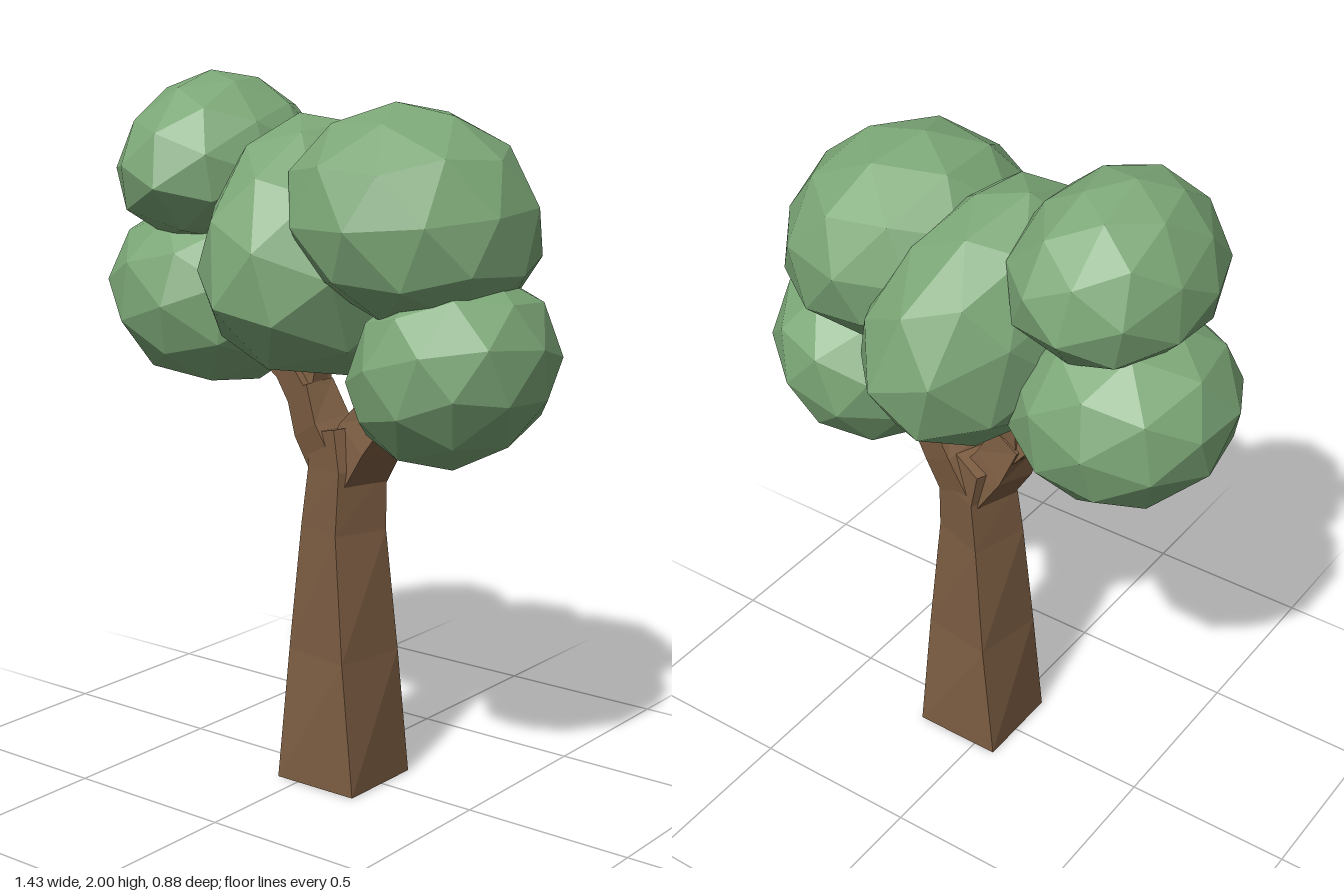
import * as THREE from 'three';

const bark = new THREE.MeshStandardMaterial({ color: 0x7c5d42, flatShading: true });
const leaf = new THREE.MeshStandardMaterial({ color: 0x7ca777, flatShading: true });

// Four-sided limb lofted through sections [x, y, z, corner radius, twist]
function limb(name, sections) {
  const zAxis = new THREE.Vector3(0, 0, 1);
  const centres = sections.map(s => new THREE.Vector3(s[0], s[1], s[2]));
  const positions = [], index = [];
  sections.forEach(([, , , radius, twist], i) => {
    const dir = centres[Math.min(i + 1, centres.length - 1)].clone()
      .sub(centres[Math.max(i - 1, 0)]).normalize();
    const u = dir.clone().cross(zAxis).normalize();
    const v = u.clone().cross(dir);
    for (let k = 0; k < 4; k++) {
      const a = Math.PI / 4 + k * Math.PI / 2 + twist;
      const p = centres[i].clone()
        .addScaledVector(u, radius * Math.cos(a))
        .addScaledVector(v, radius * Math.sin(a));
      positions.push(p.x, p.y, p.z);
    }
  });
  for (let i = 0; i < sections.length - 1; i++) {
    for (let k = 0; k < 4; k++) {
      const a = i * 4 + k, b = i * 4 + (k + 1) % 4;
      index.push(a, a + 4, b, b, a + 4, b + 4);
    }
  }
  const t = (sections.length - 1) * 4;
  index.push(0, 1, 2, 0, 2, 3, t, t + 2, t + 1, t, t + 3, t + 2);
  const indexed = new THREE.BufferGeometry();
  indexed.setAttribute('position', new THREE.Float32BufferAttribute(positions, 3));
  indexed.setIndex(index);
  const geometry = indexed.toNonIndexed();
  geometry.computeVertexNormals();
  const mesh = new THREE.Mesh(geometry, bark);
  mesh.name = name;
  return mesh;
}

// Faceted ball of leaves: stretched, narrowed towards the top by taper, then tilted
function leafClump(name, centre, radii, tilt, turn, taper) {
  const geometry = new THREE.IcosahedronGeometry(1, 1);
  geometry.rotateY(turn);
  const p = geometry.attributes.position;
  for (let i = 0; i < p.count; i++) {
    const s = 1 - taper * p.getY(i);
    p.setXYZ(i, p.getX(i) * s, p.getY(i), p.getZ(i) * s);
  }
  geometry.scale(...radii);
  geometry.rotateZ(tilt);
  geometry.translate(...centre);
  geometry.computeVertexNormals();
  const mesh = new THREE.Mesh(geometry, leaf);
  mesh.name = name;
  return mesh;
}

export function createModel() {
  const tree = new THREE.Group();
  tree.name = 'tree';

  // Trunk, twisting as it narrows, and its forked branches
  const wood = new THREE.Group();
  wood.name = 'wood';
  wood.add(
    limb('trunk', [
      [0.065, 0, 0.01, 0.19, 0],
      [0.063, 0.38, 0.008, 0.155, 0.16],
      [0.06, 0.74, 0.005, 0.122, 0.32],
      [0.065, 0.91, -0.005, 0.113, 0.34],
      [0.04, 1.02, -0.012, 0.1, 0.34],
    ]),
    limb('leftBranch', [
      [0.05, 0.9, -0.008, 0.09, 0.3],
      [-0.03, 1.02, -0.01, 0.085, 0.3],
      [-0.075, 1.13, -0.01, 0.07, 0.2],
    ]),
    limb('leftOuterTwig', [
      [-0.06, 1.09, -0.01, 0.07, 0.2],
      [-0.14, 1.18, -0.01, 0.055, 0.1],
      [-0.28, 1.26, -0.01, 0.04, 0],
    ]),
    limb('leftInnerTwig', [
      [-0.07, 1.08, -0.01, 0.06, 0.2],
      [-0.065, 1.18, -0.02, 0.05, 0.1],
      [-0.03, 1.32, -0.03, 0.035, 0],
    ]),
    limb('rightBranch', [
      [0.08, 0.9, -0.008, 0.1, 0.3],
      [0.14, 1.0, -0.01, 0.095, 0.3],
      [0.225, 1.12, -0.01, 0.075, 0.2],
      [0.36, 1.28, 0, 0.045, 0],
    ]),
  );

  // Crown of overlapping leaf clumps
  const crown = new THREE.Group();
  crown.name = 'crown';
  crown.add(
    leafClump('centreClump', [0, 1.535, 0], [0.29, 0.37, 0.445], 0.27, 0.3, 0.22),
    leafClump('upperLeftClump', [-0.35, 1.765, 0.04], [0.265, 0.24, 0.34], 0.15, 0.7, 0.2),
    leafClump('lowerLeftClump', [-0.405, 1.375, 0], [0.315, 0.275, 0.32], -0.15, 0.2, 0),
    leafClump('upperRightClump', [0.325, 1.645, 0.035], [0.35, 0.285, 0.365], -0.42, 0.1, 0.08),
    leafClump('lowerRightClump', [0.445, 1.24, 0.025], [0.295, 0.255, 0.31], 0.75, 0.4, 0),
  );

  tree.add(wood, crown);
  return tree;
}
